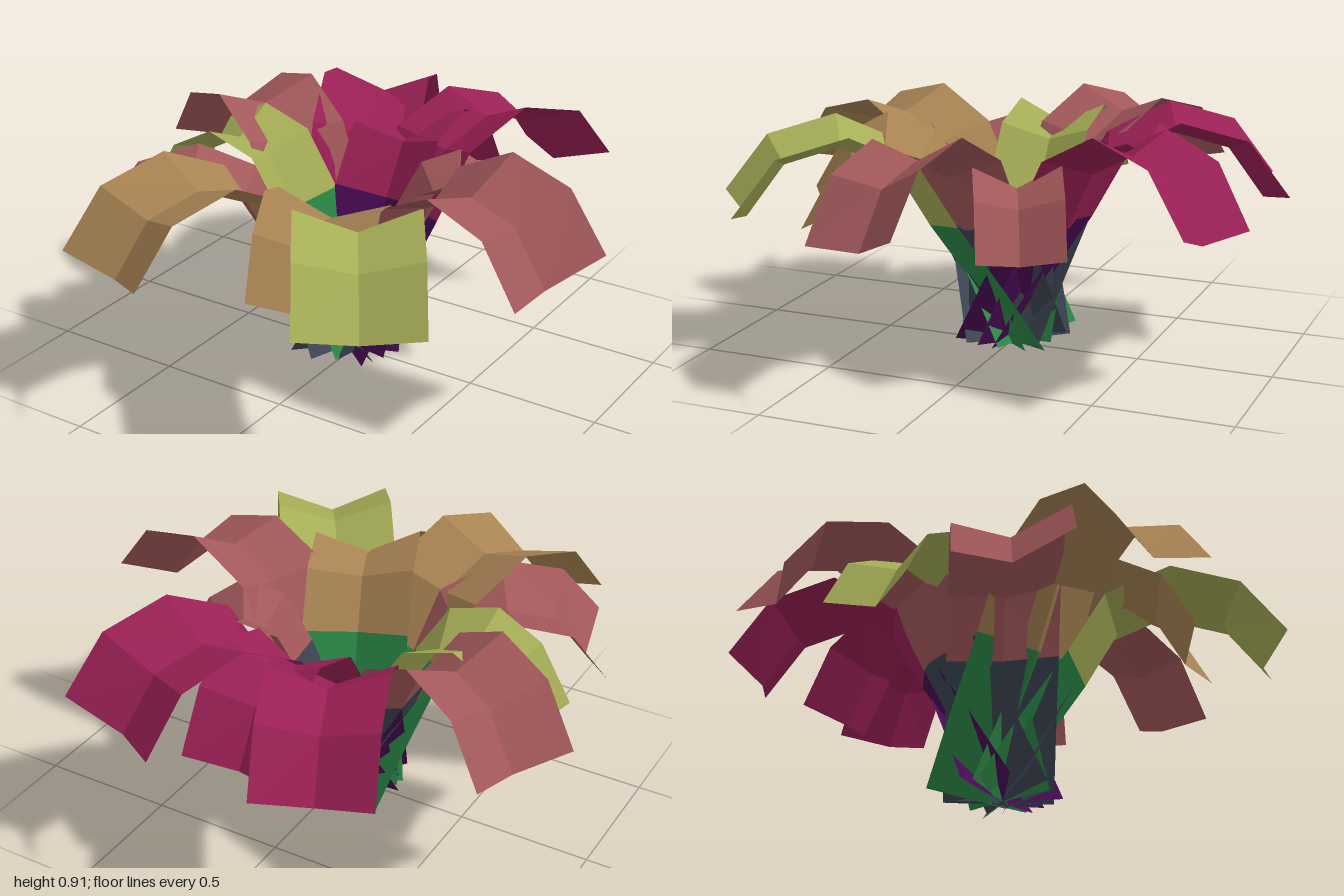
import * as THREE from 'three';

const material = (name, color) => {
  const m = new THREE.MeshStandardMaterial({ color, side: THREE.DoubleSide, flatShading: true });
  m.name = name;
  return m;
};

// Arching leaf outlines: distance from the root and height, row by row
const LONG = [[-0.08, 0.035], [0.06, 0.28], [0.22, 0.54], [0.35, 0.78], [0.58, 0.9], [0.82, 0.83], [0.97, 0.62]];
const SHORT = [[-0.06, 0.03], [0.06, 0.29], [0.17, 0.53], [0.3, 0.73], [0.49, 0.79], [0.66, 0.7], [0.78, 0.5]];
const COLOUR_ROW = 2; // the stem colour ends at this row
const LAST_ROW = 6;
const FOLD = 0.08;    // depth of the trough along the middle

// One row across a leaf: edge, sunken middle, edge
function leafRow(i, leaf) {
  const { arch, root: [rx, rz], tip: [tx, tz] } = leaf;
  const length = Math.hypot(tx - rx, tz - rz);
  const dx = (tx - rx) / length, dz = (tz - rz) / length;
  const sr = length / arch[LAST_ROW][0], sy = leaf.height;
  const a = arch[Math.max(i - 1, 0)], b = arch[Math.min(i + 1, LAST_ROW)];
  const tr = (b[0] - a[0]) * sr, ty = (b[1] - a[1]) * sy, tl = Math.hypot(tr, ty);
  const t = i / LAST_ROW;
  return [-1, 0, 1].map((s) => {
    let r = arch[i][0] * sr + s * t * (leaf.skew || 0);
    let y = arch[i][1] * sy + s * t * (leaf.roll || 0);
    if (s === 0) {
      r += FOLD * ty / tl;
      y -= FOLD * tr / tl;
    }
    const side = s * leaf.width / 2;
    return [rx + dx * r - dz * side, Math.max(y, 0), rz + dz * r + dx * side];
  });
}

function strip(leaf, from, to) {
  const pos = [];
  for (let i = from; i < to; i++) {
    const p = leafRow(i, leaf), q = leafRow(i + 1, leaf);
    for (let k = 0; k < 2; k++) {
      pos.push(...p[k], ...p[k + 1], ...q[k + 1], ...p[k], ...q[k + 1], ...q[k]);
    }
  }
  const g = new THREE.BufferGeometry();
  g.setAttribute('position', new THREE.Float32BufferAttribute(pos, 3));
  g.computeVertexNormals();
  return g;
}

export function createModel() {
  const slate = material('slate stem', 0x3c4552);
  const purple = material('purple stem', 0x480a52);
  const green = material('green stem', 0x2a8646);
  const kinds = {
    magenta: [purple, material('magenta leaf', 0x9a2055)],
    pink: [slate, material('dusty pink leaf', 0xa2585a)],
    yellow: [green, material('yellow green leaf', 0xa5ad56)],
    tan: [green, material('tan leaf', 0xa88353)],
  };

  // Root and tip are x, z positions on plan
  const leaves = [
    // long outer leaves
    { kind: 'magenta', arch: LONG, root: [-0.03, 0], tip: [-0.405, -0.91], height: 0.97, width: 0.41 },
    { kind: 'magenta', arch: LONG, root: [-0.02, 0], tip: [0.41, -0.895], height: 0.99, width: 0.42, roll: 0.03, skew: 0.04 },
    { kind: 'yellow', arch: LONG, root: [0, 0], tip: [0.565, 0.85], height: 0.95, width: 0.43 },
    { kind: 'tan', arch: LONG, root: [-0.06, -0.02], tip: [-0.43, 0.93], height: 0.96, width: 0.43, skew: 0.02 },
    { kind: 'pink', arch: LONG, root: [-0.03, 0], tip: [-0.775, 0.57], height: 0.87, width: 0.4, roll: -0.03, skew: -0.034 },
    { kind: 'pink', arch: LONG, root: [-0.04, 0], tip: [-0.91, -0.395], height: 0.97, width: 0.41 },
    { kind: 'pink', arch: LONG, root: [-0.04, 0.02], tip: [0.93, 0.19], height: 0.98, width: 0.4, roll: -0.045, skew: -0.035 },
    // short inner leaves
    { kind: 'yellow', arch: SHORT, root: [-0.03, 0], tip: [-0.82, -0.01], height: 1.04, width: 0.35 },
    { kind: 'magenta', arch: SHORT, root: [-0.02, 0], tip: [-0.015, -0.8], height: 1.06, width: 0.37 },
    { kind: 'tan', arch: SHORT, root: [-0.01, 0], tip: [0.25, 0.7], height: 1.03, width: 0.4, roll: 0.03 },
    { kind: 'pink', arch: SHORT, root: [0, 0], tip: [0.54, -0.26], height: 0.97, width: 0.31, skew: 0.01 },
  ];

  const plant = new THREE.Group();
  plant.name = 'plant';
  leaves.forEach((leaf) => {
    const [stemMat, bladeMat] = kinds[leaf.kind];
    const group = new THREE.Group();
    group.name = leaf.kind + 'Leaf';
    const stem = new THREE.Mesh(strip(leaf, 0, COLOUR_ROW), stemMat);
    stem.name = 'leafStem';
    const blade = new THREE.Mesh(strip(leaf, COLOUR_ROW, LAST_ROW), bladeMat);
    blade.name = 'leafBlade';
    group.add(stem, blade);
    plant.add(group);
  });
  return plant;
}
